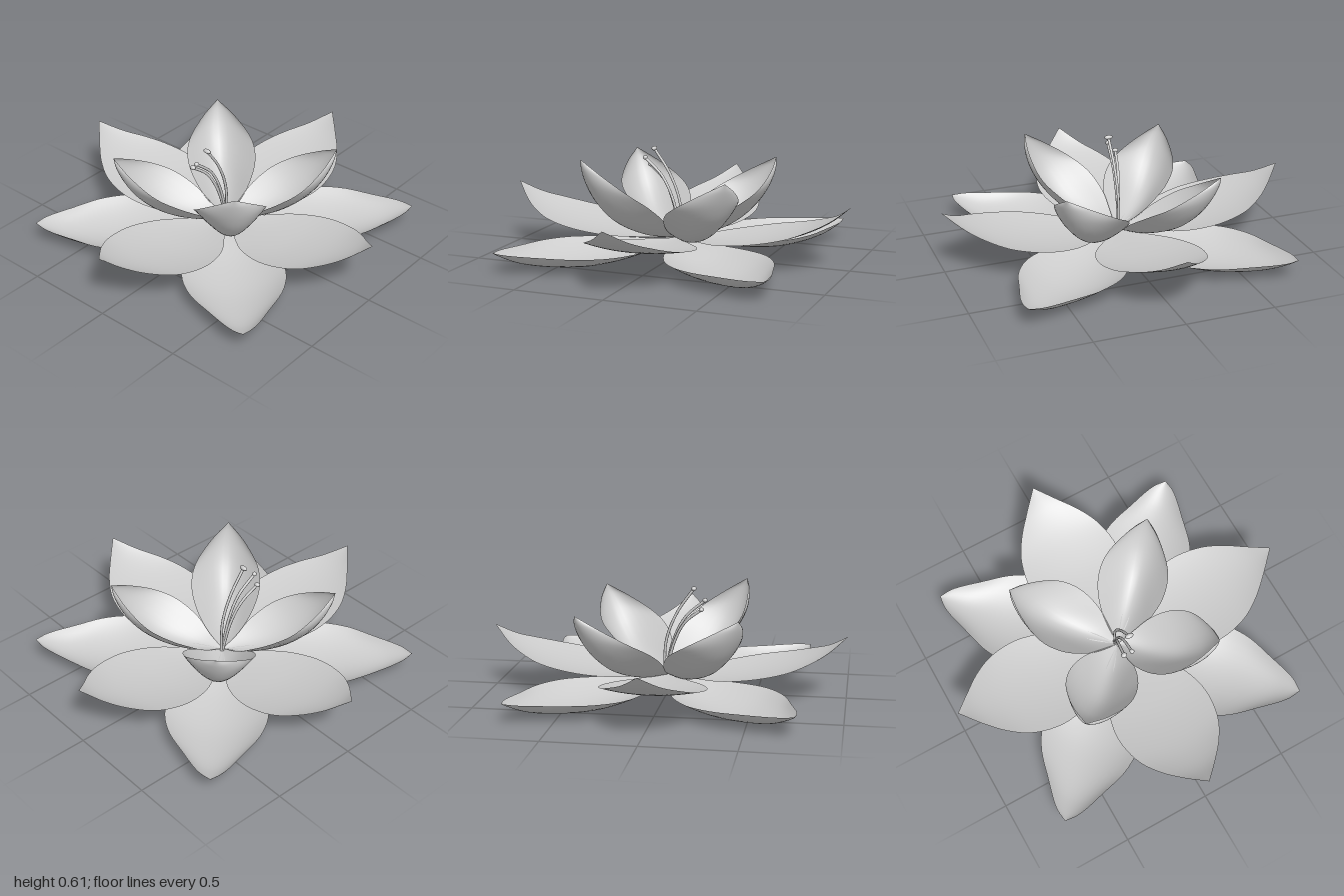
import * as THREE from 'three';

const material = new THREE.MeshStandardMaterial({ color: 0xcccccc, side: THREE.DoubleSide });
const HUB = 0.1; // height where all petals meet

// Petal along +x: midrib points [r, y] and rim points [r, halfWidth, y], height from the hub.
function petalGeometry(rib, rim) {
  const ribCurve = new THREE.CatmullRomCurve3(rib.map(([r, y]) => new THREE.Vector3(r, y, 0)));
  const rimCurve = new THREE.CatmullRomCurve3(rim.map(([r, w, y]) => new THREE.Vector3(r, y, w)));
  const geo = new THREE.PlaneGeometry(1, 2, 32, 14);
  const pos = geo.attributes.position;
  const a = new THREE.Vector3(), b = new THREE.Vector3();
  for (let i = 0; i < pos.count; i++) {
    const u = THREE.MathUtils.clamp(pos.getX(i) + 0.5, 0, 1), v = pos.getY(i);
    ribCurve.getPoint(u, a);
    rimCurve.getPoint(u, b);
    const k = v * v; // cupped cross-section
    pos.setXYZ(i, a.x + (b.x - a.x) * k, a.y + (b.y - a.y) * k, -b.z * v);
  }
  geo.computeVertexNormals();
  return geo;
}

// Ring of four petals; pitches lets single petals stand steeper.
function petalRing(name, geo, startAngle, pitches = [0, 0, 0, 0]) {
  const ring = new THREE.Group();
  ring.name = name;
  pitches.forEach((pitch, i) => {
    const petal = new THREE.Mesh(geo, material);
    petal.name = name + 'Petal';
    petal.position.y = HUB;
    petal.rotation.set(0, startAngle + i * Math.PI / 2, pitch);
    ring.add(petal);
  });
  return ring;
}

// Thin curved filament with an elongated anther at its tip
function stamen(points, antherLength) {
  const group = new THREE.Group();
  group.name = 'stamen';
  const path = new THREE.CatmullRomCurve3(points.map(p => new THREE.Vector3(...p)));
  const filament = new THREE.Mesh(new THREE.TubeGeometry(path, 24, 0.008, 8), material);
  filament.name = 'filament';
  const anther = new THREE.Mesh(new THREE.SphereGeometry(1, 14, 10), material);
  anther.name = 'anther';
  anther.scale.set(0.014, 0.012, antherLength);
  anther.position.copy(path.getPoint(1));
  group.add(filament, anther);
  return group;
}

export function createModel() {
  const flower = new THREE.Group();
  flower.name = 'flower';

  // Low drooping petals on the diagonals
  const lower = petalGeometry(
    [[0, 0], [0.16, -0.03], [0.35, -0.075], [0.57, -0.096], [0.75, -0.085], [0.92, -0.055], [1.03, -0.01], [1.075, 0.015]],
    [[0, 0, 0], [0.14, 0.1, -0.01], [0.32, 0.22, -0.01], [0.52, 0.28, -0.005], [0.7, 0.25, 0], [0.87, 0.158, 0.005], [1.02, 0.064, 0.012], [1.075, 0, 0.015]]);
  flower.add(petalRing('lower', lower, Math.PI / 4));

  // Long pointed petals on the axes
  const middle = petalGeometry(
    [[0, 0], [0.15, 0.003], [0.32, 0.012], [0.5, 0.032], [0.68, 0.072], [0.8, 0.115], [0.9, 0.17], [1, 0.255]],
    [[0, 0, 0], [0.14, 0.11, 0.015], [0.31, 0.235, 0.035], [0.5, 0.285, 0.065], [0.68, 0.257, 0.1], [0.8, 0.19, 0.138], [0.9, 0.102, 0.182], [1, 0, 0.255]]);
  flower.add(petalRing('middle', middle, 0));

  // Upright cupped petals on the diagonals, one of them steeper
  const upper = petalGeometry(
    [[0, 0], [0.2, 0.015], [0.38, 0.08], [0.5, 0.18], [0.57, 0.28], [0.61, 0.37], [0.62, 0.42]],
    [[0, 0, 0], [0.08, 0.085, 0.05], [0.16, 0.15, 0.12], [0.28, 0.195, 0.2], [0.4, 0.185, 0.265], [0.53, 0.1, 0.35], [0.62, 0, 0.42]]);
  flower.add(petalRing('upper', upper, Math.PI / 4, [0, 0, 0.11, 0]));

  // Stamens leaning to one side
  flower.add(
    stamen([[0.02, 0.075, -0.01], [0.01, 0.3, -0.01], [-0.05, 0.46, -0.01], [-0.145, 0.6, -0.01]], 0.025),
    stamen([[0.02, 0.075, -0.01], [-0.03, 0.3, -0.015], [-0.1, 0.44, -0.02], [-0.21, 0.54, -0.03]], 0.013),
    stamen([[0.02, 0.075, -0.01], [-0.04, 0.3, -0.03], [-0.1, 0.415, -0.05], [-0.195, 0.495, -0.07]], 0.017));
  return flower;
}
